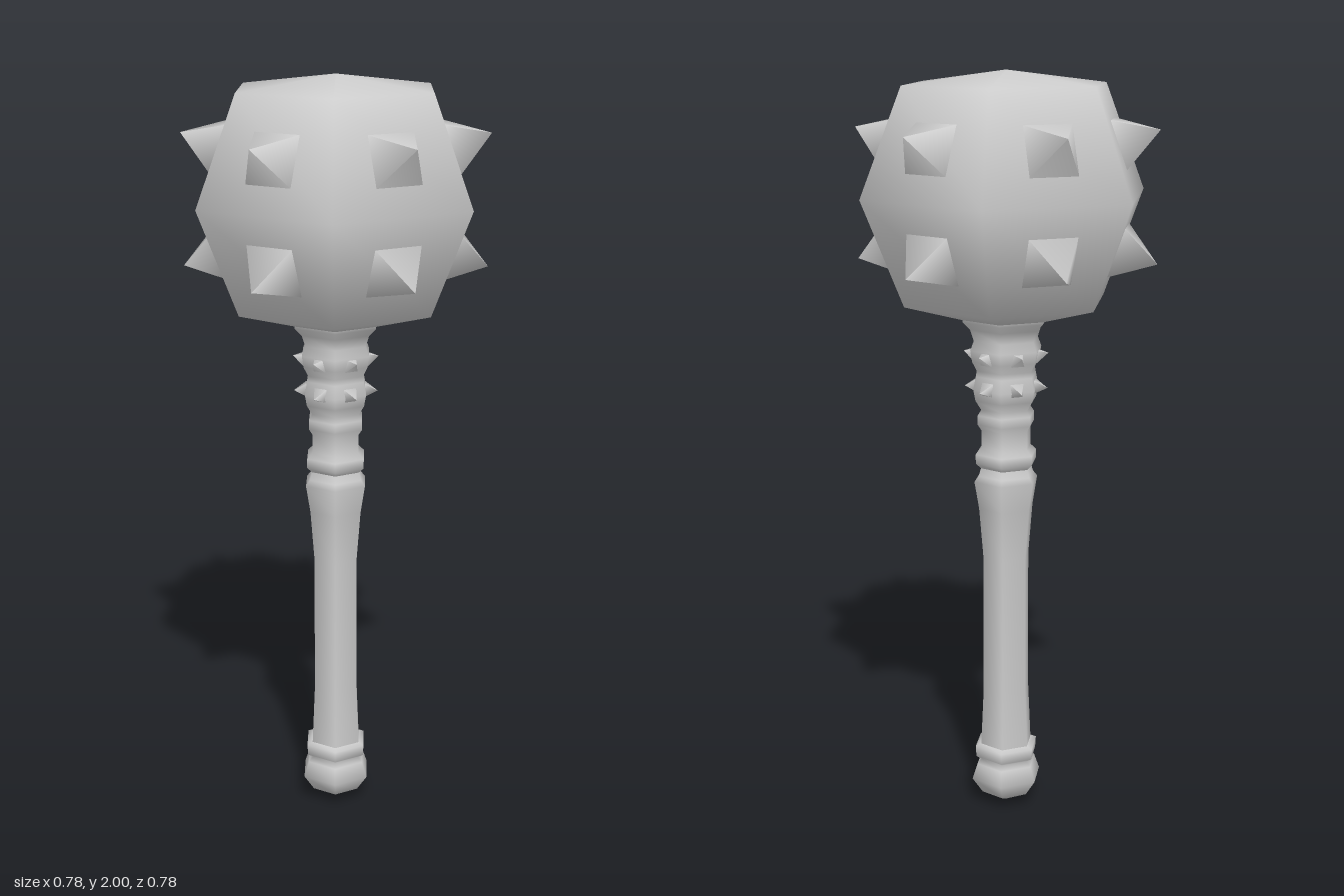
import * as THREE from 'three';

const material = new THREE.MeshStandardMaterial({ color: 0xcccccc });

// Six-sided smooth turned part with corners on the x axis; profile is [radius, y], bottom to top
function turned(name, profile) {
  const points = profile.map(([r, y]) => new THREE.Vector2(r, y));
  const mesh = new THREE.Mesh(new THREE.LatheGeometry(points, 6, Math.PI / 2), material);
  mesh.name = name;
  return mesh;
}

// Ring of six four-sided spikes, one on each side face, leaning up by tilt
function spikeRing(name, y, distance, halfSide, height, tilt) {
  const geometry = new THREE.ConeGeometry(halfSide * Math.SQRT2, height, 4);
  geometry.rotateY(Math.PI / 4);
  geometry.translate(0, height / 2, 0);
  geometry.rotateX(Math.PI / 2 - tilt);
  geometry.translate(0, y, distance);
  const ring = new THREE.Group();
  ring.name = name;
  for (let i = 0; i < 6; i++) {
    const spike = new THREE.Mesh(geometry, material);
    spike.name = 'spike';
    spike.rotation.y = (i * Math.PI) / 3;
    ring.add(spike);
  }
  return ring;
}

export function createModel() {
  const mace = new THREE.Group();
  mace.name = 'mace';

  // Faceted head
  mace.add(turned('head', [
    [0, 1.36], [0.115, 1.37], [0.278, 1.415], [0.39, 1.69], [0.278, 1.965], [0, 2],
  ]));

  // Pommel and its band
  mace.add(turned('pommel', [
    [0, 0], [0.07, 0.035], [0.1, 0.08], [0.085, 0.122], [0.072, 0.135],
    [0.088, 0.145], [0.09, 0.175], [0.07, 0.182],
  ]));

  // Grip, flared at both ends
  mace.add(turned('grip', [
    [0.074, 0.17], [0.066, 0.34], [0.065, 0.72], [0.077, 0.86],
    [0.09, 0.935], [0.078, 0.95], [0.07, 0.975],
  ]));

  // Ringed neck widening into the head
  mace.add(turned('neck', [
    [0.07, 0.97], [0.086, 0.985], [0.086, 1.01], [0.07, 1.025], [0.07, 1.075],
    [0.08, 1.09], [0.08, 1.115], [0.07, 1.13], [0.086, 1.155], [0.092, 1.185],
    [0.085, 1.22], [0.082, 1.235], [0.095, 1.26], [0.1, 1.29], [0.09, 1.315],
    [0.1, 1.345], [0.12, 1.365], [0.12, 1.38],
  ]));

  // Large head spikes and small collar spikes
  mace.add(spikeRing('upperHeadSpikes', 1.82, 0.29, 0.065, 0.107, 0.34));
  mace.add(spikeRing('lowerHeadSpikes', 1.553, 0.289, 0.065, 0.107, -0.34));
  mace.add(spikeRing('upperCollarSpikes', 1.272, 0.078, 0.018, 0.035, 0.25));
  mace.add(spikeRing('lowerCollarSpikes', 1.19, 0.075, 0.018, 0.035, -0.1));
  return mace;
}
